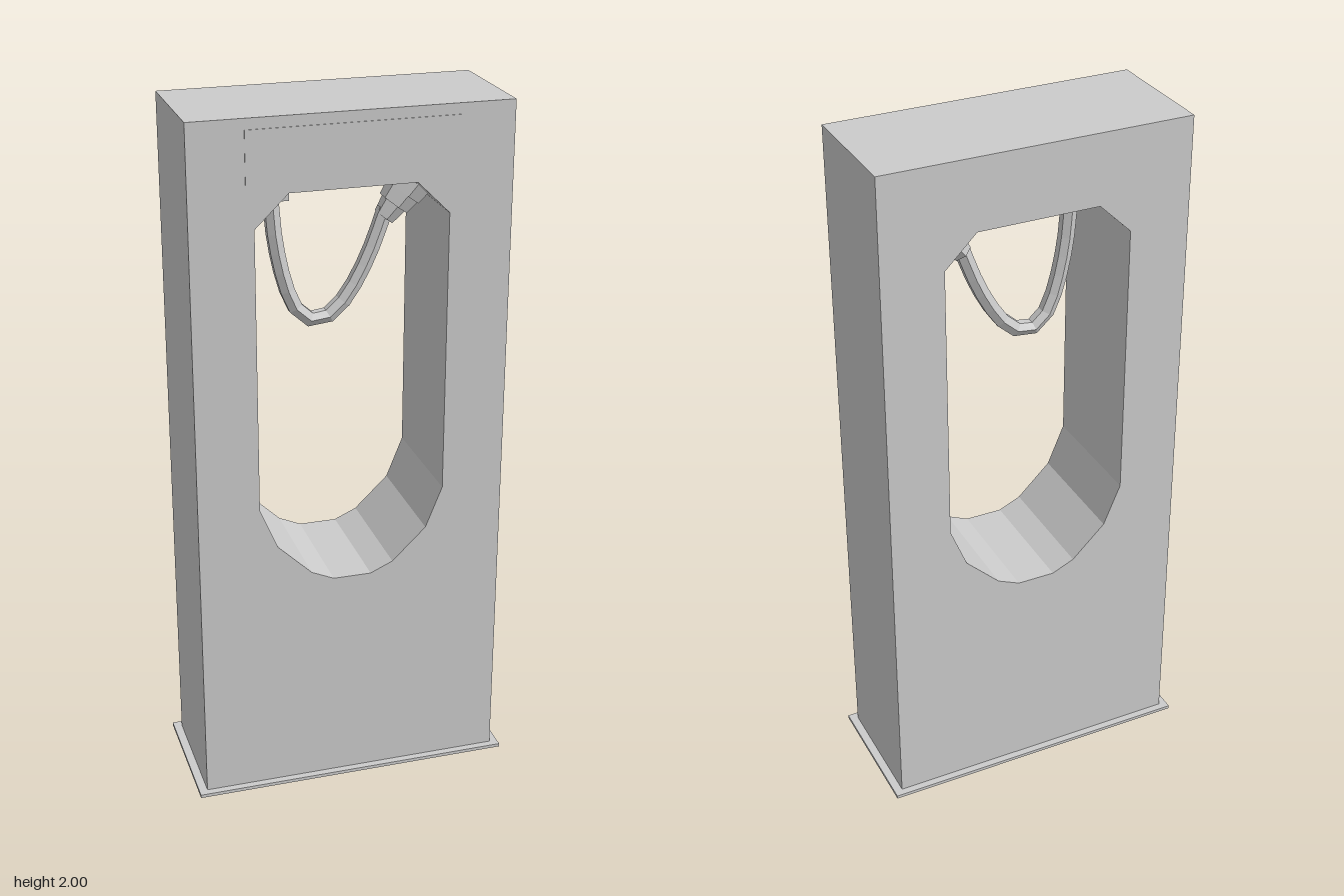
import * as THREE from 'three';

const grey = new THREE.MeshStandardMaterial({ color: 0xcccccc, flatShading: true });

function part(name, geometry, x = 0, y = 0, z = 0) {
  const mesh = new THREE.Mesh(geometry, grey);
  mesh.name = name;
  mesh.position.set(x, y, z);
  return mesh;
}

const points = (list) => list.map(([x, y]) => new THREE.Vector2(x, y));

export function createModel() {
  const group = new THREE.Group();
  group.name = 'chargingPost';

  // Thin plinth
  group.add(part('basePlate', new THREE.BoxGeometry(0.934, 0.01, 0.4), 0, 0.005, 0));

  // Tall slab with a faceted opening through it
  const slab = new THREE.Shape(points([[-0.443, 0.01], [0.443, 0.01], [0.443, 2], [-0.443, 2]]));
  slab.holes.push(new THREE.Path(points([
    [-0.268, 0.9], [-0.268, 1.707], [-0.175, 1.797], [0.175, 1.797], [0.266, 1.707], [0.266, 0.9],
    [0.218, 0.78], [0.12, 0.685], [0.055, 0.656], [-0.055, 0.656], [-0.12, 0.685], [-0.218, 0.78],
  ])));
  const body = new THREE.ExtrudeGeometry(slab, { depth: 0.358, bevelEnabled: false });
  group.add(part('body', body, 0, 0, -0.179));

  // Flat display panel above the opening
  group.add(part('displayPanel', new THREE.BoxGeometry(0.58, 0.16, 0.004), 0, 1.89, 0.179));

  // Hanging cable
  const path = new THREE.CatmullRomCurve3([
    [-0.18, 1.75], [-0.166, 1.6], [-0.13, 1.455], [-0.095, 1.395], [-0.05, 1.377],
    [0, 1.4], [0.055, 1.47], [0.105, 1.57], [0.145, 1.68],
  ].map(([x, y]) => new THREE.Vector3(x, y, 0)));
  group.add(part('cable', new THREE.TubeGeometry(path, 14, 0.023, 6)));

  // Fixed cable socket
  group.add(part('cableSocket', new THREE.BoxGeometry(0.086, 0.075, 0.08), -0.181, 1.772, 0));

  // Stepped plug, tilted into the sloping corner of the opening
  const plug = new THREE.Group();
  plug.name = 'plug';
  plug.position.set(0.14, 1.655, 0);
  plug.rotation.z = -0.66;
  [[0.03, 0.038, 0.045], [0.046, 0.052, 0.04], [0.056, 0.062, 0.045]].reduce((y, [low, high, h], i) => {
    plug.add(part(`plugStep${i + 1}`, new THREE.CylinderGeometry(high, low, h, 6), 0, y + h / 2, 0));
    return y + h;
  }, 0);
  group.add(plug);

  return group;
}
